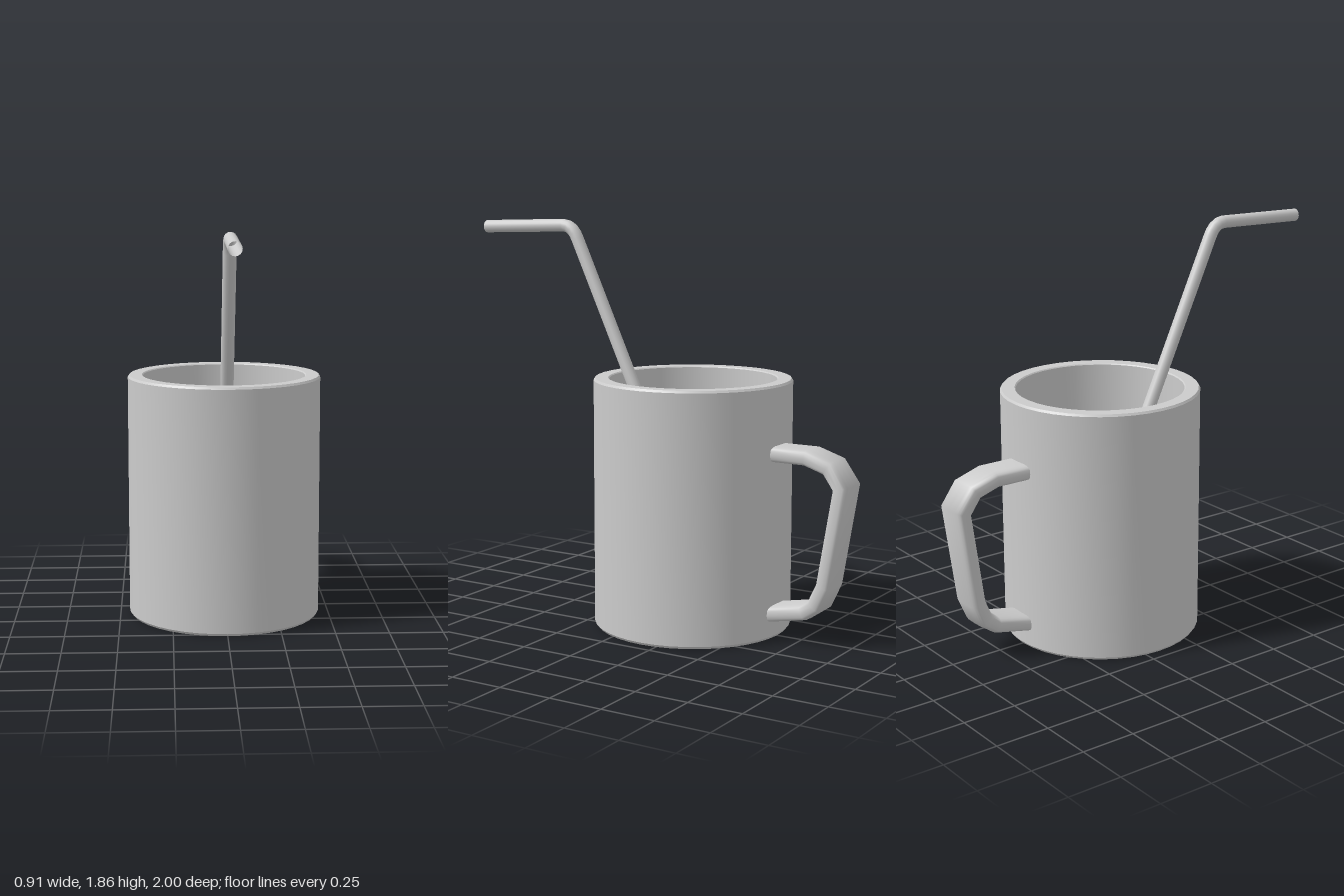
import * as THREE from 'three';
import { toCreasedNormals } from 'three/addons/utils/BufferGeometryUtils.js';

const CENTER_Z = -0.175;

// Sweeps a rounded, flattened section along a path of [x, y, z] points
function sweepStrap(path, halfWidth, halfThick, sides) {
  const pts = path.map((p) => new THREE.Vector3(...p));
  const pos = [], index = [];
  pts.forEach((p, i) => {
    const a = p.clone().sub(pts[Math.max(i - 1, 0)]).normalize();
    const b = pts[Math.min(i + 1, pts.length - 1)].clone().sub(p).normalize();
    const t = a.clone().add(b).normalize();
    const miter = Math.max(t.dot(a), t.dot(b));
    const out = new THREE.Vector3(1, 0, 0).cross(t).normalize();
    for (let j = 0; j < sides; j++) {
      const ang = (j / sides) * Math.PI * 2;
      const c = Math.cos(ang), s = Math.sin(ang);
      const u = Math.sign(c) * Math.abs(c) ** 0.5 * halfWidth;
      const v = (Math.sign(s) * Math.abs(s) ** 0.6 * halfThick) / miter;
      pos.push(p.x + u, p.y + out.y * v, p.z + out.z * v);
    }
    if (i === 0) return;
    for (let j = 0; j < sides; j++) {
      const k = (j + 1) % sides;
      const r0 = (i - 1) * sides, r1 = i * sides;
      index.push(r0 + j, r0 + k, r1 + j, r0 + k, r1 + k, r1 + j);
    }
  });
  const g = new THREE.BufferGeometry();
  g.setAttribute('position', new THREE.Float32BufferAttribute(pos, 3));
  g.setIndex(index);
  g.computeVertexNormals();
  return g;
}

export function createModel() {
  const group = new THREE.Group();
  const material = new THREE.MeshStandardMaterial({ color: 0xcccccc });
  const openMaterial = new THREE.MeshStandardMaterial({ color: 0xcccccc, side: THREE.DoubleSide });
  const add = (name, geometry, mat) => {
    const mesh = new THREE.Mesh(geometry, mat);
    mesh.name = name;
    group.add(mesh);
    return mesh;
  };

  // Hollow cup with bevelled rim and foot
  const profile = [
    [0, 0.005], [0.43, 0.005], [0.432, 0], [0.448, 0], [0.457, 0.012],
    [0.457, 1.145], [0.45, 1.155], [0.39, 1.155], [0.385, 1.15], [0.385, 0.07], [0, 0.07],
  ].map(([r, y]) => new THREE.Vector2(r, y));
  const cup = add('cup', toCreasedNormals(new THREE.LatheGeometry(profile, 40), 0.5), material);
  cup.position.z = CENTER_Z;

  // Handle, its lower arm slightly off to one side
  const handlePath = [
    [0, 0.847, -0.6], [0, 0.847, -0.785], [0, 0.812, -0.895], [0, 0.725, -0.957],
    [0.012, 0.28, -0.887], [0.015, 0.188, -0.845], [0.015, 0.15, -0.79], [0.01, 0.112, -0.6],
  ];
  add('handle', sweepStrap(handlePath, 0.086, 0.037, 20), openMaterial);

  // Bent drinking straw, open at both ends
  const v = (y, z) => new THREE.Vector3(0, y, z);
  const strawPath = new THREE.CurvePath();
  strawPath.add(new THREE.LineCurve3(v(0.085, -0.32), v(1.775, 0.468)));
  strawPath.add(new THREE.QuadraticBezierCurve3(v(1.775, 0.468), v(1.832, 0.495), v(1.83, 0.55)));
  strawPath.add(new THREE.LineCurve3(v(1.83, 0.55), v(1.815, 1)));
  add('straw', new THREE.TubeGeometry(strawPath, 90, 0.03, 16, false), openMaterial);

  return group;
}
